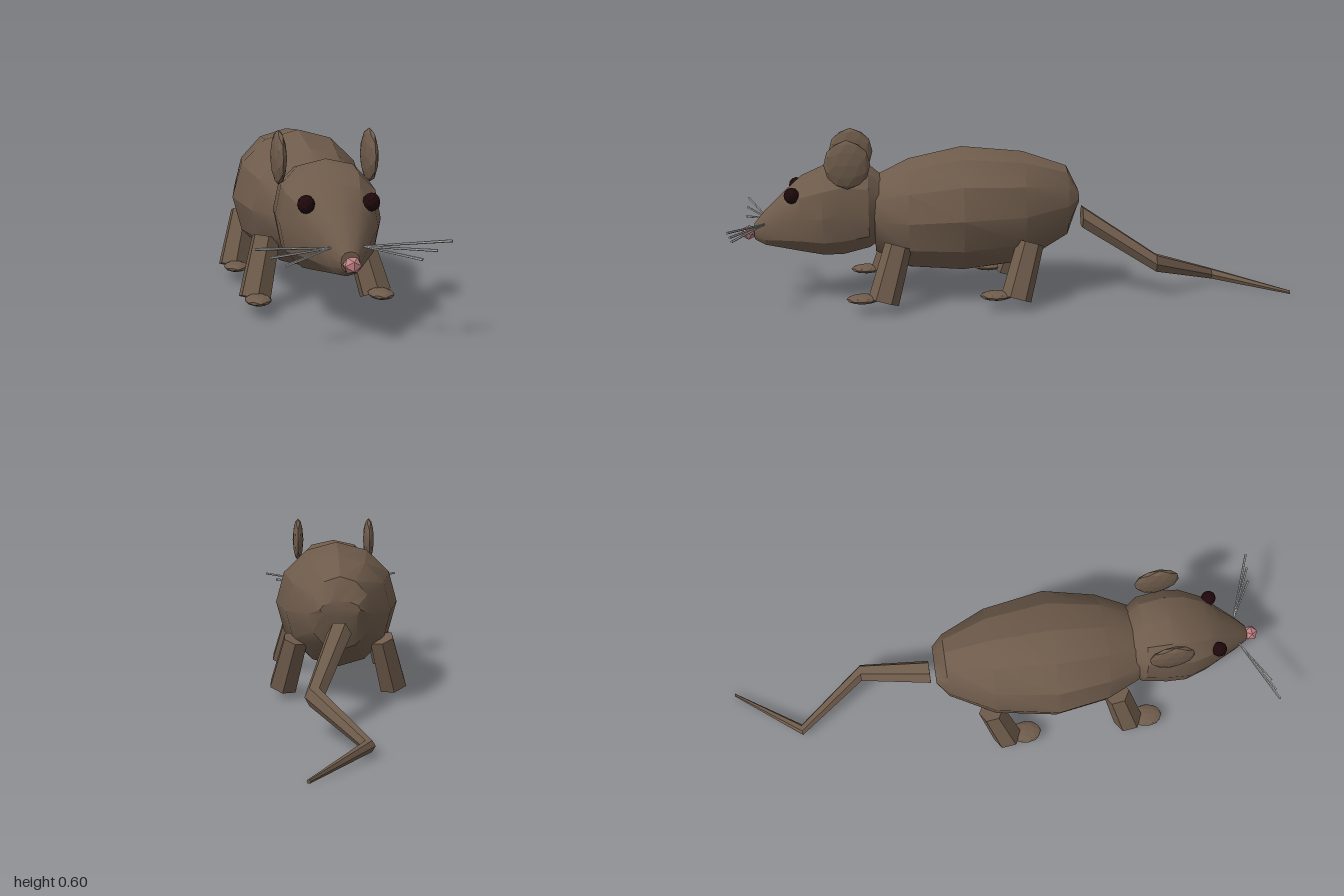
import * as THREE from 'three';
import { toCreasedNormals } from 'three/addons/utils/BufferGeometryUtils.js';

const mat = (name, color, flatShading = false) => {
  const m = new THREE.MeshStandardMaterial({ color, flatShading });
  m.name = name;
  return m;
};

// Closed skin over oval sections [z, centreX, centreY, halfWidth, halfHeight], in rising z
function loft(sections, sides, power = 1) {
  const pos = [], idx = [];
  const bend = (v) => Math.sign(v) * Math.pow(Math.abs(v), power);
  for (const [z, cx, cy, w, h] of sections) {
    for (let j = 0; j < sides; j++) {
      const a = (j / sides) * Math.PI * 2;
      pos.push(cx + w * bend(Math.cos(a)), cy + h * bend(Math.sin(a)), z);
    }
  }
  const first = sections[0], last = sections[sections.length - 1];
  const c0 = pos.length / 3, c1 = c0 + 1, end = (sections.length - 1) * sides;
  pos.push(first[1], first[2], first[0], last[1], last[2], last[0]);
  for (let j = 0; j < sides; j++) {
    const k = (j + 1) % sides;
    for (let i = 0; i < end; i += sides) {
      idx.push(i + j, i + k, i + sides + k, i + j, i + sides + k, i + sides + j);
    }
    idx.push(c0, k, j, c1, end + j, end + k);
  }
  const g = new THREE.BufferGeometry();
  g.setAttribute('position', new THREE.Float32BufferAttribute(pos, 3));
  g.setIndex(idx);
  g.computeVertexNormals();
  return g;
}

// Straight tapered rod between two points
function rod(from, to, r0, r1, sides) {
  const a = new THREE.Vector3(...from), b = new THREE.Vector3(...to);
  const dir = b.clone().sub(a), mid = a.clone().add(b).multiplyScalar(0.5);
  const g = new THREE.CylinderGeometry(r1, r0, dir.length(), sides);
  g.applyQuaternion(new THREE.Quaternion().setFromUnitVectors(new THREE.Vector3(0, 1, 0), dir.normalize()));
  return g.translate(mid.x, mid.y, mid.z);
}

const blob = (detail, s, p) => new THREE.IcosahedronGeometry(1, detail).scale(...s).translate(...p);

export function createModel() {
  const group = new THREE.Group();
  const fur = mat('brown fur', 0x6e5b4b);
  const furFlat = fur.clone();
  furFlat.flatShading = true;
  const eye = mat('dark eye', 0x1f080b, true);
  const pink = mat('pink nose', 0xbd8083, true);
  const hair = mat('grey whisker', 0xa8a8a8, true);
  const add = (name, geometry, material) => {
    const m = new THREE.Mesh(geometry, material);
    m.name = name;
    group.add(m);
  };

  // Body: plump barrel, narrow at the rump
  add('body', toCreasedNormals(loft([
    [-0.22, 0, 0.37, 0.07, 0.03],
    [-0.18, 0, 0.35, 0.11, 0.13],
    [-0.02, 0, 0.33, 0.19, 0.205],
    [0.2, 0, 0.328, 0.23, 0.228],
    [0.39, 0, 0.315, 0.195, 0.2],
    [0.51, 0, 0.315, 0.14, 0.14],
  ], 12), 0.5), fur);

  // Head: boxy skull tapering to the snout
  add('head', toCreasedNormals(loft([
    [0.465, 0, 0.34, 0.1, 0.1],
    [0.53, 0, 0.345, 0.15, 0.15],
    [0.62, 0, 0.343, 0.16, 0.172],
    [0.69, 0, 0.333, 0.16, 0.163],
    [0.77, 0, 0.322, 0.13, 0.138],
    [0.83, 0, 0.3, 0.095, 0.105],
    [0.9, 0, 0.273, 0.055, 0.065],
    [0.94, 0, 0.26, 0.028, 0.03],
  ], 12, 0.85), 0.5), fur);

  add('nose', blob(0, [0.029, 0.027, 0.027], [0, 0.255, 0.962]), pink);

  // Tail: zigzag, thinning to the tip
  add('tail', loft([
    [-1, 0.118, 0.012, 0.006, 0.007],
    [-0.75, -0.068, 0.04, 0.021, 0.021],
    [-0.5, 0.095, 0.132, 0.032, 0.035],
    [-0.24, 0.005, 0.29, 0.043, 0.043],
  ], 6), furFlat);

  for (const s of [1, -1]) {
    const side = s > 0 ? 'left' : 'right';
    add(side + 'Ear', blob(1, [0.022, 0.086, 0.08], [s * 0.145, 0.52, 0.6]), furFlat);
    add(side + 'Eye', blob(1, [0.027, 0.029, 0.027], [s * 0.1, 0.406, 0.797]), eye);

    // Whiskers fan out from the snout
    for (const [x, y] of [[0.288, 0.322], [0.244, 0.295], [0.2, 0.27]]) {
      add(side + 'Whisker', rod([s * 0.048, 0.295, 0.9], [s * x, y, 0.995], 0.003, 0.0045, 5), hair);
    }

    // Legs splay outward and forward, each with a flat foot
    for (const [end, z] of [['Front', 0.43], ['Rear', -0.035]]) {
      add(side + end + 'Leg', rod([s * 0.203, 0.042, z + 0.055], [s * 0.155, 0.232, z], 0.055, 0.048, 6), furFlat);
      add(side + end + 'Foot', blob(1, [0.043, 0.016, 0.058], [s * 0.203, 0.056, z + 0.125]), furFlat);
    }
  }
  return group;
}
